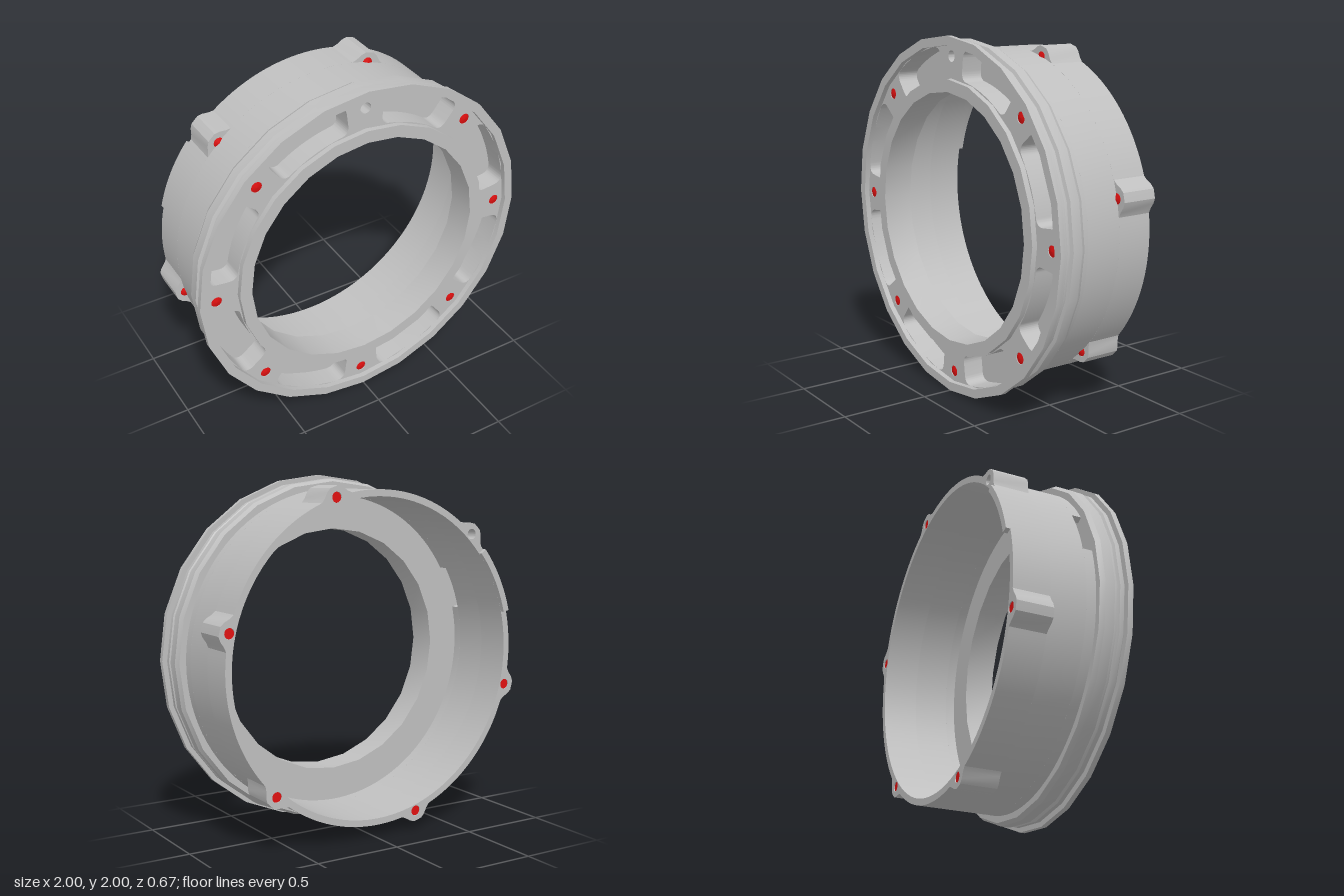
import * as THREE from 'three';
import { toCreasedNormals } from 'three/addons/utils/BufferGeometryUtils.js';

const TAU = Math.PI * 2, DEG = Math.PI / 180;
const polar = (r, a) => new THREE.Vector2(r * Math.cos(a), r * Math.sin(a));

export function createModel() {
  const model = new THREE.Group();
  model.name = 'mountingRing';
  const grey = new THREE.MeshStandardMaterial({ color: 0xbfbfbf });
  grey.name = 'light grey';
  const red = new THREE.MeshStandardMaterial({ color: 0xe01010 });
  red.name = 'red';

  const add = (name, geometry, material) => {
    const mesh = new THREE.Mesh(geometry, material);
    mesh.name = name;
    mesh.position.y += 1;
    model.add(mesh);
    return mesh;
  };

  // Solid of revolution about z from [radius, z] points
  const turned = (points, segments) => {
    const g = new THREE.LatheGeometry(points.map(p => new THREE.Vector2(p[0], p[1])), segments, Math.PI / 2);
    g.rotateX(Math.PI / 2);
    return toCreasedNormals(g, 0.45);
  };

  // Flat shape extruded between two z levels
  const slab = (shape, z0, z1, curveSegments = 48) => {
    const g = new THREE.ExtrudeGeometry(shape, { depth: z1 - z0, bevelEnabled: false, curveSegments });
    g.translate(0, 0, z0);
    return toCreasedNormals(g, 0.5);
  };

  const circle = (r, x = 0, y = 0) => new THREE.Path().absarc(x, y, r, 0, TAU, true);

  const annulus = (outer, inner) => {
    const s = new THREE.Shape().absarc(0, 0, outer, 0, TAU, false);
    s.holes.push(circle(inner));
    return s;
  };

  const sector = (outer, inner, a0, a1) => {
    const s = new THREE.Shape();
    s.absarc(0, 0, outer, a0, a1, false);
    s.absarc(0, 0, inner, a1, a0, true);
    s.closePath();
    return s;
  };

  // Front flange and grooved collar
  add('flangeCollar', turned([
    [0.95, 0.155], [0.965, 0.155], [0.98, 0.18], [0.98, 0.235], [0.962, 0.243],
    [0.962, 0.258], [0.975, 0.268], [0.975, 0.292], [0.965, 0.3], [1, 0.3],
    [1, 0.33], [0.95, 0.33], [0.95, 0.155],
  ], 24), grey);

  // Raised lip around the bore
  add('boreLip', turned([
    [0.7, 0.155], [0.77, 0.155], [0.77, 0.33], [0.7, 0.33], [0.7, 0.155],
  ], 24), grey);

  // Floor behind the pockets
  add('pocketFloor', slab(annulus(0.955, 0.735), 0.155, 0.18), grey);

  // Web plate with eight rounded pockets and eight screw holes
  const pocket = (mid) => {
    const h = 0.268, ro = 0.943, ri = 0.772, c = 0.055, d = 0.062;
    const a0 = mid - h, a1 = mid + h;
    const p = new THREE.Path();
    const corner = (ctrl, end) => p.quadraticCurveTo(ctrl.x, ctrl.y, end.x, end.y);
    const line = (v) => p.lineTo(v.x, v.y);
    p.absarc(0, 0, ro, a0 + d, a1 - d, false);
    corner(polar(ro, a1), polar(ro - c, a1));
    line(polar(ri + c, a1));
    corner(polar(ri, a1), polar(ri, a1 - d));
    p.absarc(0, 0, ri, a1 - d, a0 + d, true);
    line(polar(ri, a0 + d));
    corner(polar(ri, a0), polar(ri + c, a0));
    line(polar(ro - c, a0));
    corner(polar(ro, a0), polar(ro, a0 + d));
    return p;
  };
  const web = annulus(0.955, 0.735);
  for (let i = 0; i < 8; i++) {
    const screw = polar(0.89, i * TAU / 8);
    web.holes.push(pocket((i + 0.5) * TAU / 8), circle(0.031, screw.x, screw.y));
  }
  add('webPlate', slab(web, 0.18, 0.3, 16), grey);

  // Barrel wall, with a short slot near the collar
  const OUT = 0.925, IN = 0.888;
  add('barrel', slab(annulus(OUT, IN), -0.105, 0.1), grey);
  add('barrelSlotBand', slab(sector(OUT, IN, 167 * DEG, 510 * DEG), 0.1, 0.157), grey);

  // Rear of the barrel, swelling into six bored lugs
  const lugAngles = Array.from({ length: 6 }, (_, i) => (13.5 + i * 60) * DEG);
  const rim = [];
  for (let i = 0; i < 240; i++) {
    const a = i / 240 * TAU + lugAngles[0];
    const step = TAU / 6;
    const off = Math.abs((((a - lugAngles[0]) / step + 0.5) % 1) - 0.5) * step;
    const k = THREE.MathUtils.smoothstep(0.108 - off, 0, 0.085);
    rim.push(polar(OUT + 0.055 * k, a));
  }
  const rear = new THREE.Shape(rim);
  rear.holes.push(circle(IN));
  for (const a of lugAngles) {
    const c = polar(0.923, a);
    rear.holes.push(circle(0.029, c.x, c.y));
  }
  add('barrelRearWithLugs', slab(rear, -0.31, -0.105), grey);

  // Locating tab on the rear edge
  add('rearTab', slab(sector(OUT, IN, 141 * DEG, 166 * DEG), -0.335, -0.309, 8), grey);

  // Pins filling the holes, one of each set seated deeper
  const pin = (name, at, r, back, front, tip) => {
    const mesh = add(name, turned([[0, back], [r, back], [r, front], [0, front + tip]], 12), red);
    mesh.position.x = at.x;
    mesh.position.y += at.y;
  };
  for (let i = 0; i < 8; i++) {
    pin('frontPin', polar(0.89, i * TAU / 8), 0.031, 0.175, i === 2 ? 0.2 : 0.296, 0.008);
  }
  lugAngles.forEach((a, i) => {
    pin('lugPin', polar(0.923, a), 0.029, i === 2 ? -0.2 : -0.305, -0.104, 0.01);
  });

  return model;
}
